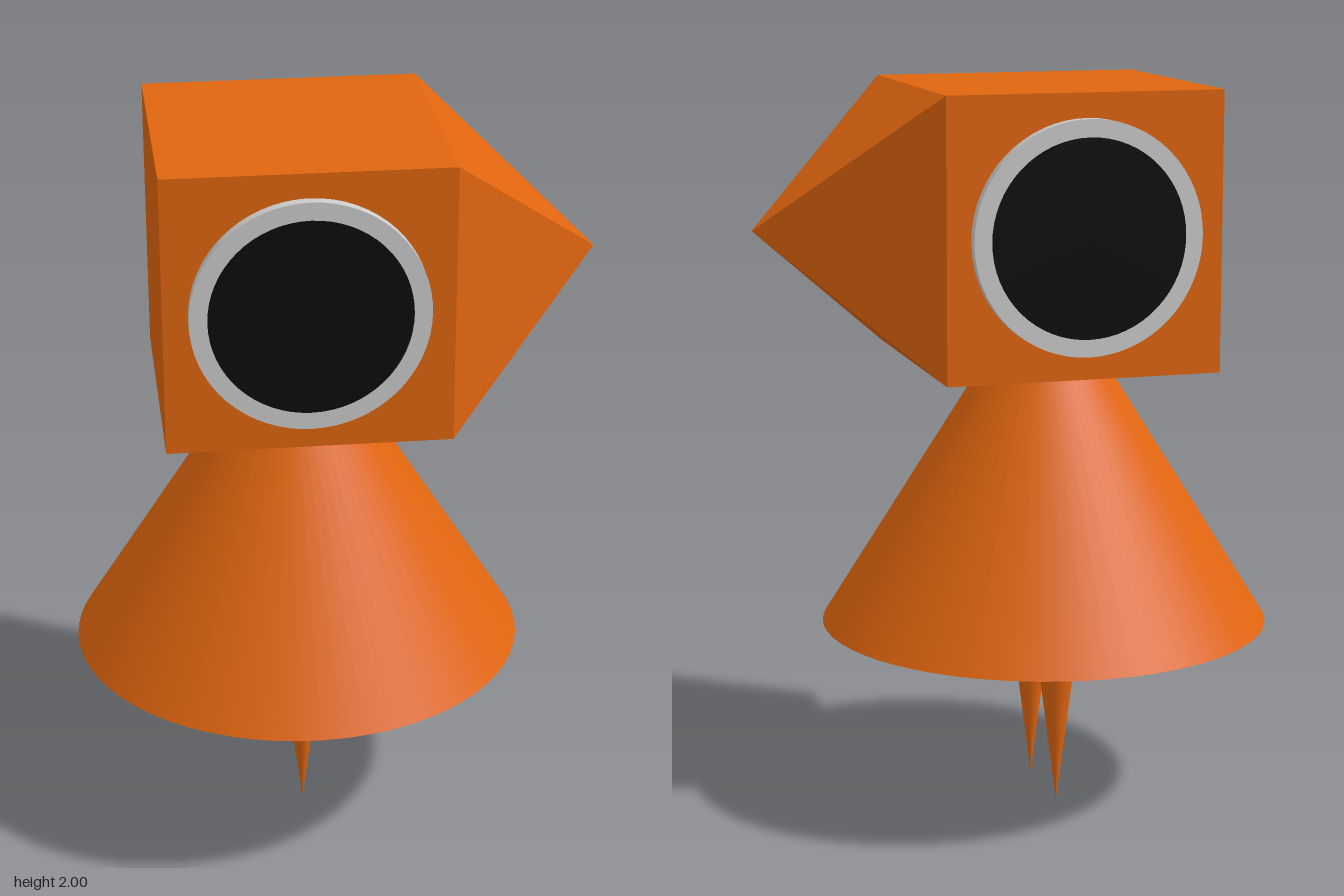
import * as THREE from 'three';

const AXIS_X = -0.095; // vertical axis shared by head, body and legs

export function createModel() {
  const model = new THREE.Group();
  const orange = new THREE.MeshStandardMaterial({ color: 0xe0650f });
  const orangeFlat = new THREE.MeshStandardMaterial({ color: 0xe0650f, flatShading: true });
  const grey = new THREE.MeshStandardMaterial({ color: 0xcccccc });
  const black = new THREE.MeshStandardMaterial({ color: 0x0c0c0c });

  const add = (name, geometry, material, x, y, z, parent = model) => {
    const mesh = new THREE.Mesh(geometry, material);
    mesh.name = name;
    mesh.position.set(x, y, z);
    parent.add(mesh);
    return mesh;
  };

  // Cube head with a square pyramid beak on its +x side
  add('head', new THREE.BoxGeometry(0.75, 0.75, 0.75), orange, AXIS_X, 1.625, 0);
  const beak = new THREE.ConeGeometry(0.375 * Math.SQRT2, 0.435, 4, 1, true);
  beak.rotateY(Math.PI / 4).rotateZ(-Math.PI / 2);
  add('beak', beak, orangeFlat, 0.28 + 0.435 / 2, 1.625, 0);

  // Hollow cone body: outer wall, bottom rim and inner wall, each with its own normals
  const body = new THREE.Group();
  body.name = 'body';
  body.position.set(AXIS_X, 0.505, 0);
  model.add(body);
  const wall = (name, ...points) => add(
    name,
    new THREE.LatheGeometry(points.map(([r, y]) => new THREE.Vector2(r, y)), 64),
    orange, 0, 0, 0, body
  );
  wall('outerWall', [0.622, 0], [0.154, 0.75], [0, 0.997]);
  wall('bottomRim', [0.565, 0], [0.622, 0]);
  wall('innerWall', [0, 0.905], [0.565, 0]);

  // Round belly hanging inside the cone
  add('belly', new THREE.SphereGeometry(0.28, 48, 32), orange, AXIS_X, 0.735, 0);

  for (const side of [1, -1]) {
    // Round eye on the front and back of the head
    const eye = new THREE.Group();
    eye.name = side > 0 ? 'frontEye' : 'backEye';
    eye.position.set(AXIS_X, 1.625, 0);
    model.add(eye);
    const rim = new THREE.CylinderGeometry(0.31, 0.31, 0.05, 64).rotateX(Math.PI / 2);
    add('eyeRim', rim, grey, 0, 0, side * 0.38, eye);
    const pupil = add('pupil', new THREE.CircleGeometry(0.263, 64), black, 0, 0, side * 0.407, eye);
    if (side < 0) pupil.rotation.y = Math.PI;

    // Spike leg pointing down, its top sunk in the belly
    const leg = new THREE.ConeGeometry(0.08, 0.625, 32).rotateX(Math.PI);
    add(side > 0 ? 'frontLeg' : 'backLeg', leg, orange, AXIS_X, 0.3125, side * 0.125);
  }

  return model;
}
